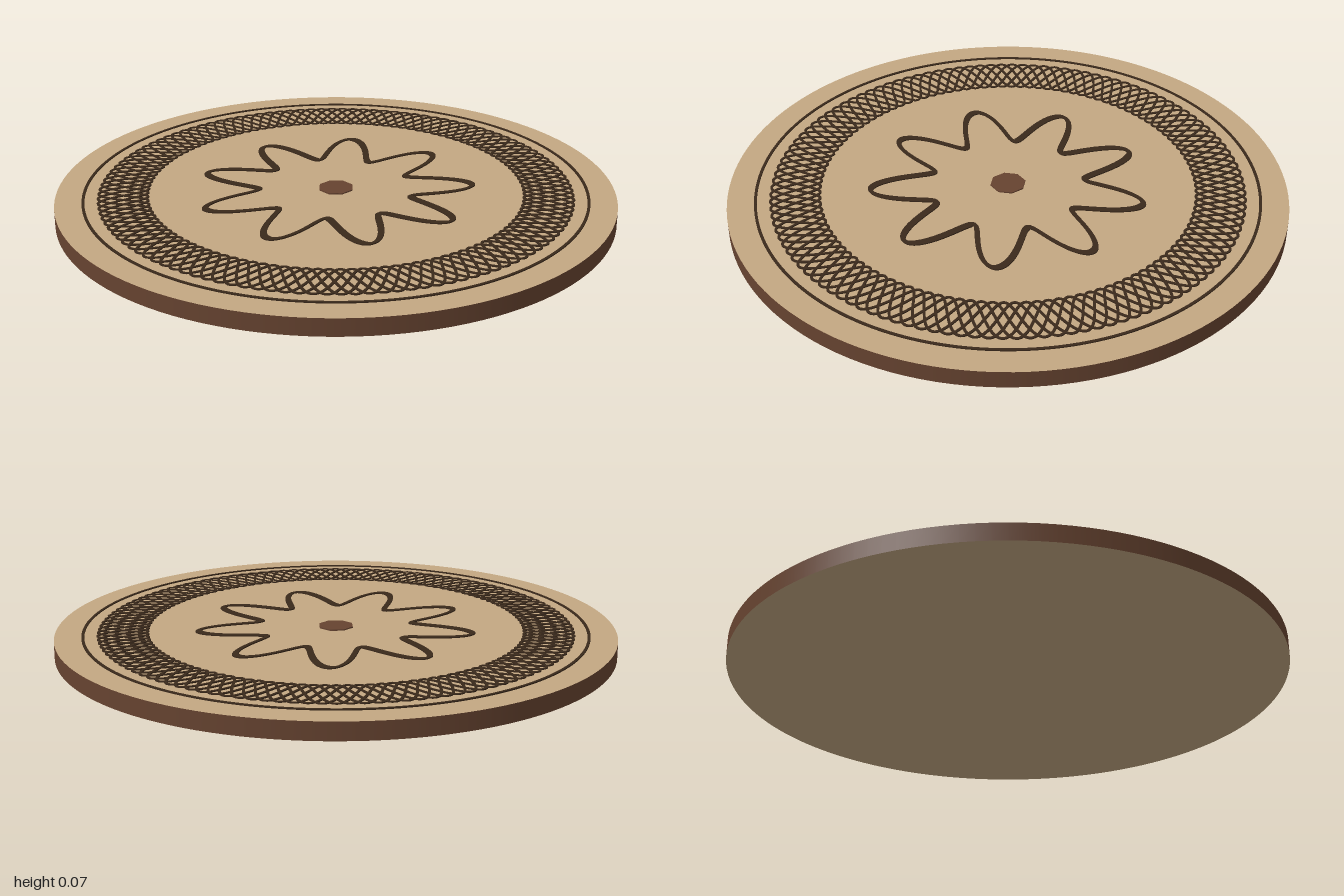
import * as THREE from 'three';

const TOP = 0.062;   // top face of the disc
const RAISE = 0.004; // height of the inlay lines

const mat = (name, color, side = THREE.FrontSide) => {
  const m = new THREE.MeshStandardMaterial({ color, side });
  m.name = name;
  return m;
};

// Closed raised line following radius(angle); halfX and halfZ set the pen's size.
function raisedLine(radius, segments, halfX, halfZ) {
  const point = (a) => new THREE.Vector2(Math.cos(a) * radius(a), Math.sin(a) * radius(a));
  const sections = [];
  for (let i = 0; i <= segments; i++) {
    const a = (i / segments) * Math.PI * 2;
    const p = point(a);
    const t = point(a + 1e-4).sub(point(a - 1e-4)).normalize();
    const n = new THREE.Vector2(t.y, -t.x);
    const w = Math.hypot(n.x * halfX, n.y * halfZ);
    const at = (s, y) => [p.x + n.x * w * s, y, p.y + n.y * w * s];
    sections.push([at(1, TOP - 0.001), at(1, TOP + RAISE), at(-1, TOP + RAISE), at(-1, TOP - 0.001)]);
  }
  const pos = [];
  for (let i = 0; i < segments; i++) {
    const s = sections[i], e = sections[i + 1];
    for (let j = 0; j < 3; j++) {
      pos.push(...s[j], ...s[j + 1], ...e[j], ...s[j + 1], ...e[j + 1], ...e[j]);
    }
  }
  const geo = new THREE.BufferGeometry();
  geo.setAttribute('position', new THREE.Float32BufferAttribute(pos, 3));
  geo.computeVertexNormals();
  return geo;
}

export function createModel() {
  const group = new THREE.Group();
  const tan = mat('tan wood', 0xc4a882);
  const brown = mat('brown wood', 0x664330);
  const dark = mat('dark inlay', 0x3a291b, THREE.DoubleSide);

  const add = (name, geometry, material, parent = group) => {
    const mesh = new THREE.Mesh(geometry, material);
    mesh.name = name;
    parent.add(mesh);
    return mesh;
  };

  // Disc: brown edge, tan faces
  add('disc', new THREE.CylinderGeometry(1, 1, TOP, 128), [brown, tan, tan]).position.y = TOP / 2;

  // Thin border ring
  add('borderRing', raisedLine(() => 0.9, 192, 0.005, 0.005), dark);

  // Woven band of phase-shifted waves
  const band = new THREE.Group();
  band.name = 'wovenBand';
  group.add(band);
  const waves = 20, strands = 6;
  for (let i = 0; i < strands; i++) {
    const phase = (i / strands) * Math.PI * 2;
    const radius = (a) => 0.76 + 0.088 * Math.cos(waves * a + phase);
    add('strand' + (i + 1), raisedLine(radius, waves * 32, 0.0045, 0.0045), dark, band);
  }

  // Nine-petal rosette drawn with a broad pen
  add('rosette', raisedLine((a) => 0.385 + 0.108 * Math.cos(9 * a), 540, 0.014, 0.007), dark);

  // Eight-sided centre
  const hub = add('centreHub', new THREE.CylinderGeometry(0.064, 0.064, 0.005, 8), brown);
  hub.rotation.y = Math.PI / 8;
  hub.position.y = TOP + 0.002;

  return group;
}
